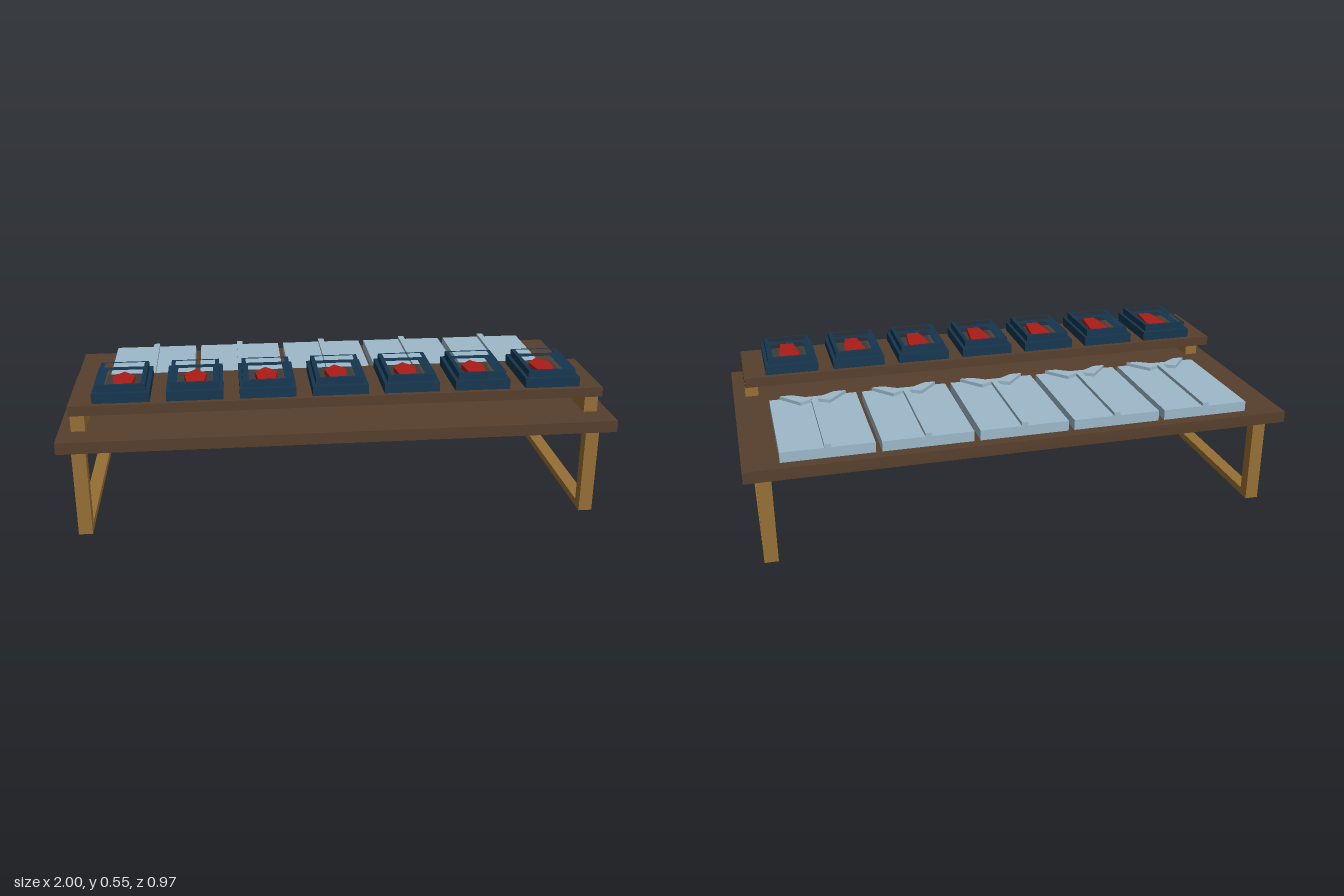
import * as THREE from 'three';

const mat = (color) => new THREE.MeshStandardMaterial({ color, flatShading: true });
const darkWood = mat(0x573f2c), lightWood = mat(0x966f35), cloth = mat(0x9db9ca);
const navy = mat(0x14364f), lining = mat(0x3c3c3c), red = mat(0xaa1c17);

// Box given by its extents on each axis
function box(parent, name, material, [x0, x1], [y0, y1], [z0, z1]) {
  const mesh = new THREE.Mesh(new THREE.BoxGeometry(x1 - x0, y1 - y0, z1 - z0), material);
  mesh.position.set((x0 + x1) / 2, (y0 + y1) / 2, (z0 + z1) / 2);
  mesh.name = name;
  parent.add(mesh);
}

// Flat outline in (x, z), raised from y0 to y1, with an optional hole
function slab(parent, name, material, outline, y0, y1, hole) {
  const points = (list) => list.map(([x, z]) => new THREE.Vector2(x, -z));
  const shape = new THREE.Shape(points(outline));
  if (hole) shape.holes.push(new THREE.Path(points(hole)));
  const geometry = new THREE.ExtrudeGeometry(shape, { depth: y1 - y0, bevelEnabled: false });
  geometry.rotateX(-Math.PI / 2);
  const mesh = new THREE.Mesh(geometry, material);
  mesh.position.y = y0;
  mesh.name = name;
  parent.add(mesh);
}

const rect = (w, d) => [[-w, -d], [w, -d], [w, d], [-w, d]];

// Folded shirt with a button strip and two collar flaps
function makeShirt() {
  const shirt = new THREE.Group();
  shirt.name = 'foldedShirt';
  box(shirt, 'shirtBody', cloth, [-0.164, 0.164], [0.384, 0.422], [-0.44, 0.038]);
  box(shirt, 'buttonStrip', cloth, [-0.012, 0.012], [0.422, 0.435], [-0.44, -0.014]);
  for (const s of [-1, 1]) {
    const flap = [[0.125, 0.037], [0.055, -0.045], [0, -0.014], [0.08, 0.037]];
    slab(shirt, 'collarFlap', cloth, flap.map(([x, z]) => [s * x, z]), 0.422, 0.435);
  }
  return shirt;
}

// Stepped open display case holding a pointed gem
function makeCase() {
  const group = new THREE.Group();
  group.name = 'displayCase';
  slab(group, 'caseBase', navy, rect(0.1, 0.142), 0.493, 0.528, rect(0.064, 0.108));
  slab(group, 'caseRim', navy, rect(0.087, 0.124), 0.528, 0.554, rect(0.072, 0.114));
  box(group, 'caseLining', lining, [-0.064, 0.064], [0.494, 0.512], [-0.108, 0.108]);
  const gem = [[0, -0.083], [0.041, -0.035], [0.025, 0.1], [-0.025, 0.1], [-0.041, -0.035]];
  slab(group, 'gem', red, gem, 0.512, 0.53);
  return group;
}

export function createModel() {
  const model = new THREE.Group();
  model.name = 'displayTable';

  // Table and raised front shelf
  box(model, 'tableTop', darkWood, [-1, 1], [0.341, 0.384], [-0.485, 0.485]);
  box(model, 'shelf', darkWood, [-0.955, 0.955], [0.457, 0.493], [0.1, 0.423]);

  // Leg frames and shelf supports at both ends
  for (const s of [-1, 1]) {
    const x = s > 0 ? [0.905, 0.955] : [-0.955, -0.905];
    box(model, 'frontLeg', lightWood, x, [0, 0.341], [0.385, 0.43]);
    box(model, 'backLeg', lightWood, x, [0, 0.341], [-0.43, -0.385]);
    box(model, 'footRail', lightWood, x, [0, 0.027], [-0.385, 0.385]);
    box(model, 'shelfSupport', lightWood, x, [0.384, 0.457], [0.195, 0.385]);
  }

  // Row of shirts on the table
  for (let i = 0; i < 5; i++) {
    const shirt = makeShirt();
    shirt.position.x = 0.008 + (i - 2) * 0.35;
    model.add(shirt);
  }

  // Row of cases on the shelf
  for (let i = 0; i < 7; i++) {
    const item = makeCase();
    item.position.set((i - 3) * 0.2575, 0, 0.262);
    model.add(item);
  }
  return model;
}
